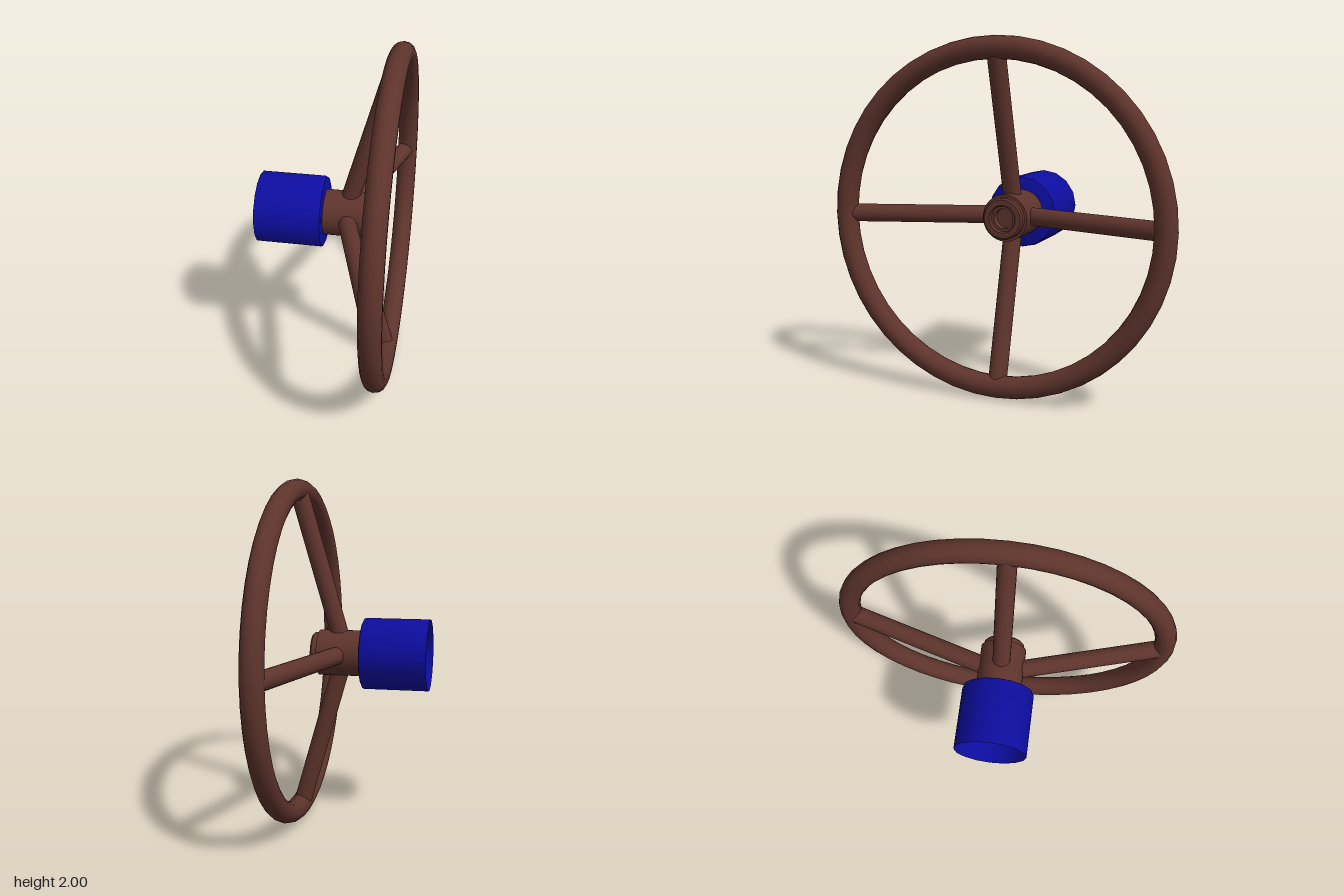
import * as THREE from 'three';
import { toCreasedNormals } from 'three/addons/utils/BufferGeometryUtils.js';

export function createModel() {
  const brown = new THREE.MeshStandardMaterial({ color: 0x5e342c });
  brown.name = 'brown';
  const blue = new THREE.MeshStandardMaterial({ color: 0x0d0da0, side: THREE.DoubleSide });
  blue.name = 'blue';

  const wheel = new THREE.Group();
  wheel.name = 'handwheel';
  wheel.position.y = 1;

  const add = (name, geometry, material) => {
    const mesh = new THREE.Mesh(geometry, material);
    mesh.name = name;
    wheel.add(mesh);
    return mesh;
  };

  // Turned part around the x axis, from [radius, x] pairs
  const turned = (profile, sides) => {
    const points = profile.map(([r, x]) => new THREE.Vector2(r, x));
    const geometry = new THREE.LatheGeometry(points, sides);
    geometry.rotateZ(-Math.PI / 2);
    return toCreasedNormals(geometry, 0.6);
  };

  // Rim
  const rim = add('rim', new THREE.TorusGeometry(0.9375, 0.0625, 14, 48), brown);
  rim.rotation.y = Math.PI / 2;
  rim.position.x = 0.352;

  // Hub with stepped collar and a round recess in its face
  add('hub', turned([
    [0, -0.034], [0.133, -0.034], [0.133, 0.225], [0.118, 0.225], [0.118, 0.255],
    [0.108, 0.265], [0.078, 0.265], [0.072, 0.255], [0.072, 0.245],
    [0.056, 0.245], [0.056, 0.2], [0, 0.2],
  ], 32), brown);

  // Shaft sleeve, open at its far end
  add('sleeve', turned([
    [0.209, -0.418], [0.209, -0.05], [0.204, -0.038], [0.192, -0.033], [0, -0.033],
  ], 16), blue);

  // Four spokes leaning out from the hub to the rim
  const start = new THREE.Vector3(0.1, 0.08, 0);
  const end = new THREE.Vector3(0.345, 0.93, 0);
  const along = end.clone().sub(start);
  for (let i = 0; i < 4; i++) {
    const geometry = new THREE.CylinderGeometry(0.052, 0.052, along.length(), 20);
    geometry.rotateZ(-Math.atan2(along.x, along.y));
    geometry.translate((start.x + end.x) / 2, (start.y + end.y) / 2, 0);
    const spoke = add('spoke' + (i + 1), geometry, brown);
    spoke.rotation.x = i * Math.PI / 2;
  }

  const model = new THREE.Group();
  model.name = 'valveHandwheel';
  model.add(wheel);
  return model;
}
